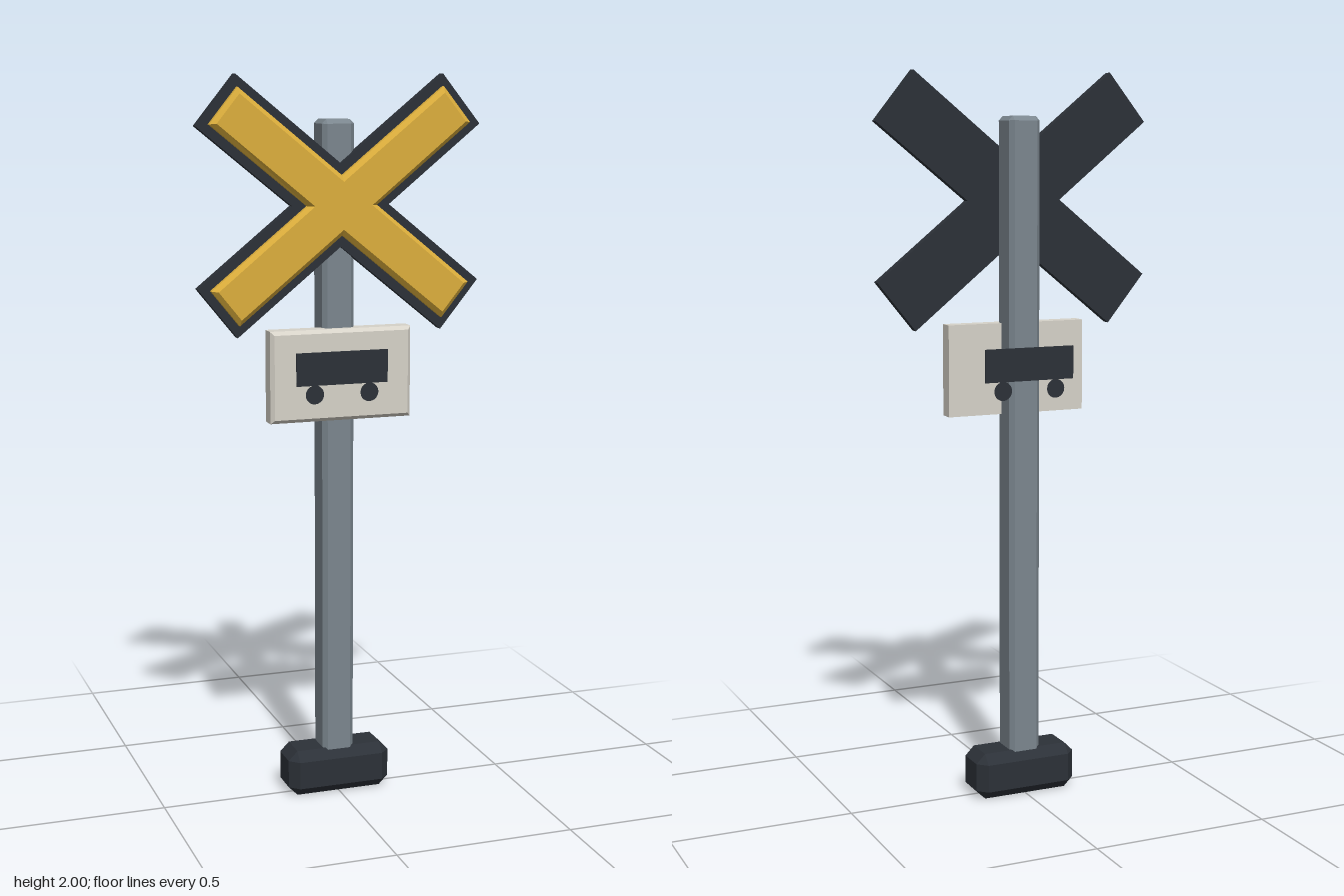
import * as THREE from 'three';
import { ConvexGeometry } from 'three/addons/geometries/ConvexGeometry.js';

const paint = (color) => new THREE.MeshStandardMaterial({ color, flatShading: true });

// Box with every edge and corner cut by c
function chamferBox(w, h, d, c) {
  const pts = [];
  for (const x of [-w / 2, w / 2]) for (const y of [-h / 2, h / 2]) for (const z of [-d / 2, d / 2]) {
    const ix = x - Math.sign(x) * c, iy = y - Math.sign(y) * c, iz = z - Math.sign(z) * c;
    pts.push(new THREE.Vector3(x, iy, iz), new THREE.Vector3(ix, y, iz), new THREE.Vector3(ix, iy, z));
  }
  return new ConvexGeometry(pts);
}

// Outline of two crossing boards of the given length and width
function crossShape(length, width, angle) {
  const s = Math.sin(angle), c = Math.cos(angle), l = length / 2, w = width / 2;
  const a = [l * c + w * s, l * s - w * c]; // lower corner of the upper right tip
  const b = [l * c - w * s, l * s + w * c]; // upper corner of the same tip
  const side = w / s, top = w / c;
  return new THREE.Shape([
    [side, 0], a, b, [0, top], [-b[0], b[1]], [-a[0], a[1]],
    [-side, 0], [-a[0], -a[1]], [-b[0], -b[1]], [0, -top], [b[0], -b[1]], [a[0], -a[1]],
  ].map(([x, y]) => new THREE.Vector2(x, y)));
}

// Plate from z0 to z1 whose front edge is bevelled inwards
function bevelPlate(shape, z0, z1, bevel) {
  const geometry = new THREE.ExtrudeGeometry(shape, {
    depth: z1 - z0 - bevel, bevelEnabled: true, bevelThickness: bevel,
    bevelSize: bevel, bevelOffset: -bevel, bevelSegments: 1,
  });
  // flatten the rear bevel into a square edge
  const p = geometry.attributes.position;
  for (let i = 0; i < p.count; i++) p.setZ(i, Math.max(p.getZ(i), 0));
  geometry.computeVertexNormals();
  return geometry.translate(0, 0, z0);
}

export function createModel() {
  const model = new THREE.Group();
  const dark = paint(0x2c3138), steel = paint(0x7b868e), yellow = paint(0xdcae3c), cream = paint(0xd6d2c8);
  const add = (name, geometry, material, x, y, z) => {
    const mesh = new THREE.Mesh(geometry, material);
    mesh.name = name;
    mesh.position.set(x, y, z);
    model.add(mesh);
    return mesh;
  };

  // Foot and post
  add('base', chamferBox(0.296, 0.13, 0.132, 0.026), dark, 0, 0.065, -0.008);
  add('post', chamferBox(0.09, 1.78, 0.09, 0.012), steel, 0, 0.99, -0.008);

  // Crossed boards: dark backing with a bevelled yellow face
  const angle = THREE.MathUtils.degToRad(39);
  const backing = new THREE.ExtrudeGeometry(crossShape(0.88, 0.171, angle), { depth: 0.025, bevelEnabled: false });
  add('crossBacking', backing, dark, 0, 1.655, 0.025);
  add('crossFace', bevelPlate(crossShape(0.834, 0.122, angle), 0.05, 0.076, 0.012), yellow, 0, 1.655, 0);

  // Sign panel
  const w = 0.2, h = 0.125;
  const panel = new THREE.Shape([[-w, -h], [w, -h], [w, h], [-w, h]].map(([x, y]) => new THREE.Vector2(x, y)));
  add('panel', bevelPlate(panel, 0.009, 0.061, 0.01), cream, 0, 1.2, 0);

  // Pictogram on the front and its twin behind the post
  for (const [side, z, turn] of [['front', 0.063, 0], ['rear', -0.077, Math.PI]]) {
    add(side + 'SymbolBody', new THREE.BoxGeometry(0.26, 0.09, 0.004), dark, 0, 1.22, z);
    for (const x of [-0.078, 0.078]) {
      add(side + 'SymbolWheel', new THREE.CircleGeometry(0.026, 20), dark, x, 1.15, z).rotation.y = turn;
    }
  }
  return model;
}
